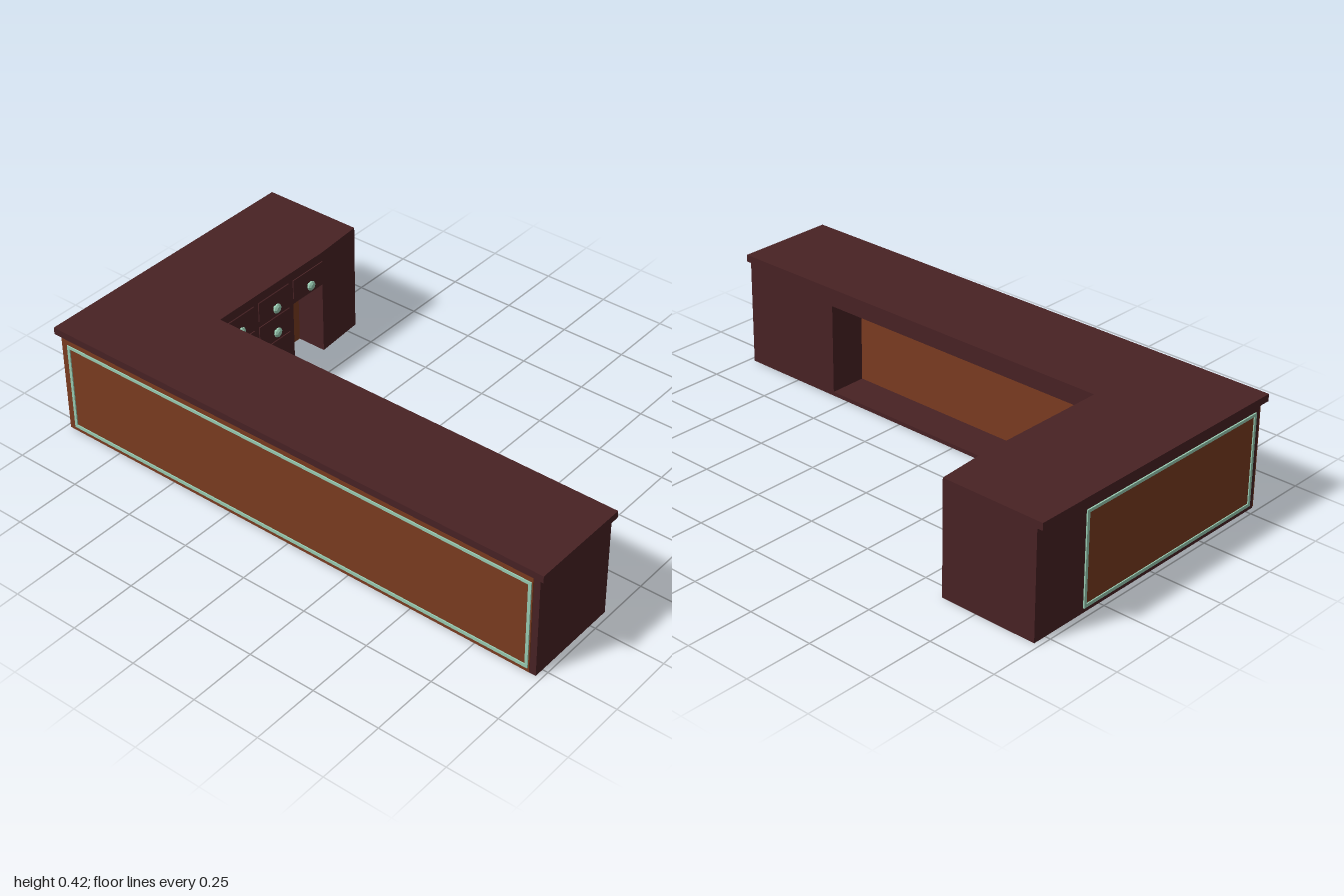
import * as THREE from 'three';

export function createModel() {
  const model = new THREE.Group();
  model.name = 'cornerCounter';

  const mat = (name, color, flat = false) => {
    const m = new THREE.MeshStandardMaterial({ color, flatShading: flat });
    m.name = name;
    return m;
  };
  const darkWood = mat('dark red wood', 0x482224);
  const panelWood = mat('brown panel wood', 0x7a3b20);
  const mint = mat('mint trim', 0x98cbb2, true);

  const add = (name, geometry, material, parent = model) => {
    const mesh = new THREE.Mesh(geometry, material);
    mesh.name = name;
    parent.add(mesh);
    return mesh;
  };
  // Box given by its limits on each axis
  const box = (name, material, [x0, x1], [y0, y1], [z0, z1]) => {
    const mesh = add(name, new THREE.BoxGeometry(x1 - x0, y1 - y0, z1 - z0), material);
    mesh.position.set((x0 + x1) / 2, (y0 + y1) / 2, (z0 + z1) / 2);
    return mesh;
  };
  const rect = (x0, x1, y0, y1, Type = THREE.Shape) => new Type([
    new THREE.Vector2(x0, y0), new THREE.Vector2(x1, y0),
    new THREE.Vector2(x1, y1), new THREE.Vector2(x0, y1),
  ]);
  // Rectangle with a rectangular hole, extruded along +z
  const holed = (outer, inner, depth) => {
    const shape = rect(...outer);
    shape.holes.push(rect(...inner, THREE.Path));
    return new THREE.ExtrudeGeometry(shape, { depth, bevelEnabled: false });
  };
  // Upright prism from floor-plan points [x, z]
  const prism = (points, y0, y1) => {
    const shape = new THREE.Shape(points.map(([x, z]) => new THREE.Vector2(x, -z)));
    return new THREE.ExtrudeGeometry(shape, { depth: y1 - y0, bevelEnabled: false })
      .rotateX(-Math.PI / 2).translate(0, y0, 0);
  };

  const TOP = 0.39;       // underside of the worktop
  const INNER_X = -0.6;   // inner face of the wing
  const INNER_Z = 0.17;   // inner face of the long counter

  // L-shaped worktop
  add('worktop', prism([
    [-1, 0.55], [1, 0.55], [1, INNER_Z], [INNER_X, INNER_Z],
    [INNER_X, -0.355], [-0.614, -0.55], [-1, -0.55],
  ], TOP, 0.416), darkWood);

  // Long counter: solid front half, open shelf behind
  box('counterFront', darkWood, [-0.98, 0.98], [0, TOP], [0.32, 0.535]);
  add('counterShelf', holed([-0.98, 0.98, 0, TOP], [-0.567, 0.57, 0.015, 0.35], 0.15), darkWood)
    .position.z = INNER_Z;
  box('shelfBackPanel', panelWood, [-0.567, 0.57], [0.015, 0.35], [0.314, 0.32]);

  // Wing: outer half, drawer block, kneehole and tapered end
  box('wingOuter', darkWood, [-0.98, -0.72], [0, TOP], [-0.55, INNER_Z]);
  box('drawerBlock', darkWood, [-0.72, INNER_X], [0, TOP], [-0.198, INNER_Z]);
  box('kneeholeLintel', darkWood, [-0.72, INNER_X], [0.283, TOP], [-0.355, -0.198]);
  box('kneeholeBackPanel', panelWood, [-0.72, -0.714], [0, 0.283], [-0.355, -0.198]);
  add('wingEnd', prism([
    [-0.72, -0.355], [INNER_X, -0.355], [-0.614, -0.55], [-0.72, -0.55],
  ], 0, TOP), darkWood);

  // Drawers with faceted knobs
  const knob = new THREE.LatheGeometry([
    [0.006, 0], [0.006, 0.008], [0.018, 0.012], [0.018, 0.018], [0.01, 0.024], [0, 0.025],
  ].map(([r, y]) => new THREE.Vector2(r, y)), 8).rotateZ(-Math.PI / 2);
  const columns = [[0.165, 0.006, 3], [-0.018, -0.175, 3], [-0.198, -0.355, 1]];
  for (const [z1, z0, count] of columns) {
    for (let row = 0; row < count; row++) {
      const y = 0.305 - row * 0.1;
      box('drawerFront', darkWood, [INNER_X, INNER_X + 0.004], [y, y + 0.076], [z0, z1]);
      add('drawerKnob', knob, mint)
        .position.set(INNER_X + 0.002, y + 0.021, (z0 + z1) / 2);
    }
  }

  // Front panel and its trim
  box('frontPanel', panelWood, [-0.98, 0.957], [0.004, TOP], [0.535, 0.539]);
  add('frontTrim', holed([-0.953, 0.953, 0.02, 0.36], [-0.942, 0.942, 0.032, 0.349], 0.005), mint)
    .position.z = 0.538;

  // Side panel and its trim on the outside of the wing
  box('sidePanel', panelWood, [-0.984, -0.98], [0.025, 0.355], [-0.325, 0.505]);
  const sideTrim = add('sideTrim',
    holed([-0.51, 0.33, 0.02, 0.36], [-0.499, 0.319, 0.032, 0.349], 0.005)
      .rotateY(-Math.PI / 2).scale(1, 1, 1), mint);
  sideTrim.geometry.translate(-0.983, 0, 0.18 - 0.0 - 0.0);
  sideTrim.position.z = 0;
  return model;
}
